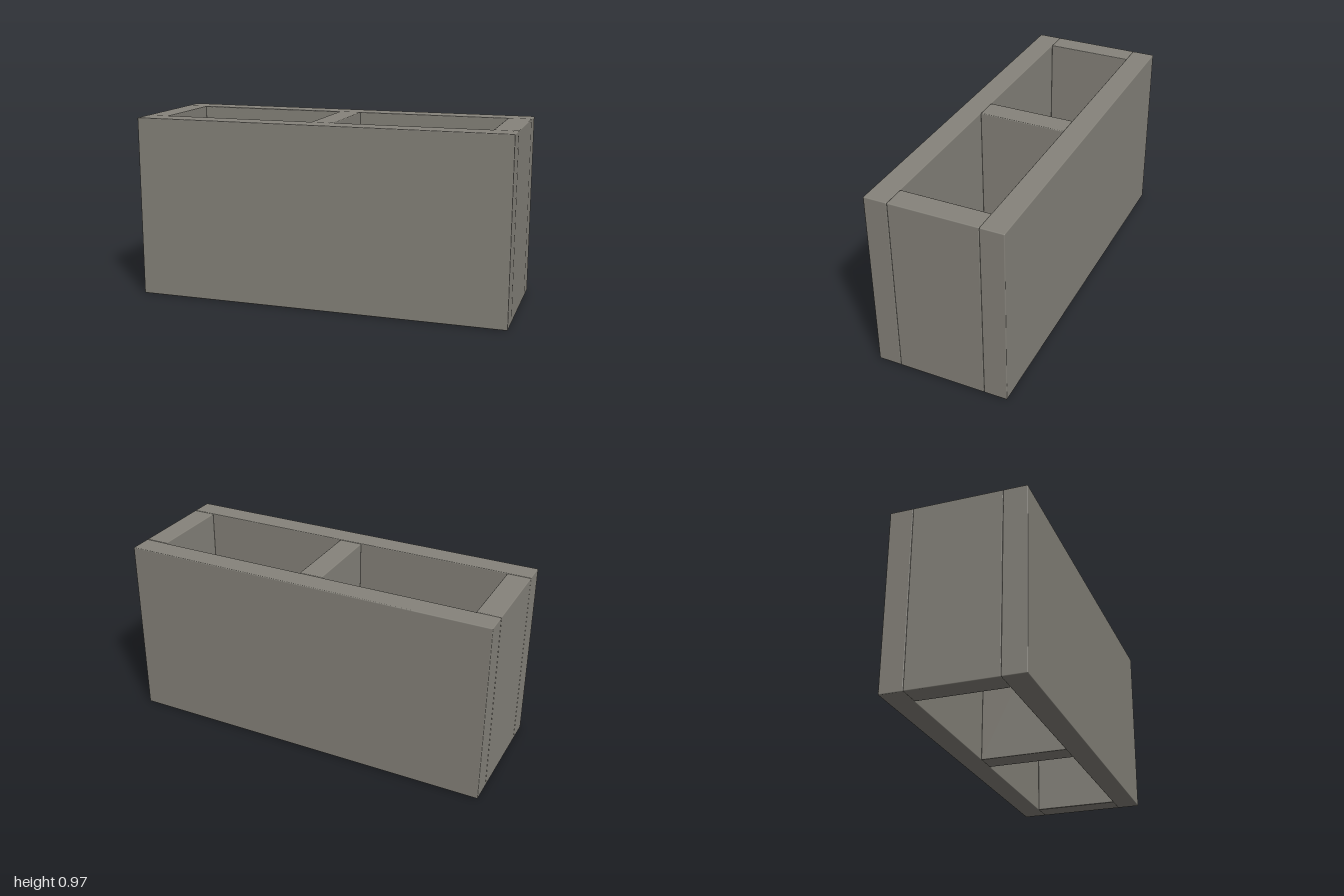
import * as THREE from 'three';
import { RoundedBoxGeometry } from 'three/addons/geometries/RoundedBoxGeometry.js';

const HEIGHT = 0.973;
const THICK = 0.124;
const HALF_DEPTH = 0.357;

export function createModel() {
  const block = new THREE.Group();
  block.name = 'hollowBlock';
  const concrete = new THREE.MeshStandardMaterial({ color: 0x86837b });
  concrete.name = 'concrete grey';

  // A slab with slightly softened edges, standing on the ground
  const slab = (name, width, depth, x, z) => {
    const mesh = new THREE.Mesh(new RoundedBoxGeometry(width, HEIGHT, depth, 1, 0.005), concrete);
    mesh.name = name;
    mesh.position.set(x, HEIGHT / 2, z);
    block.add(mesh);
  };

  // Long face walls
  const wallZ = HALF_DEPTH - THICK / 2;
  slab('frontWall', 2, THICK, 0, wallZ);
  slab('backWall', 2, THICK, 0, -wallZ);

  // Cross webs fitted between the walls
  const webDepth = 2 * (HALF_DEPTH - THICK);
  const webX = 1 - THICK / 2;
  slab('rightEndWeb', THICK, webDepth, -webX, 0);
  slab('middleWeb', THICK, webDepth, 0, 0);
  slab('leftEndWeb', THICK, webDepth, webX, 0);

  return block;
}
